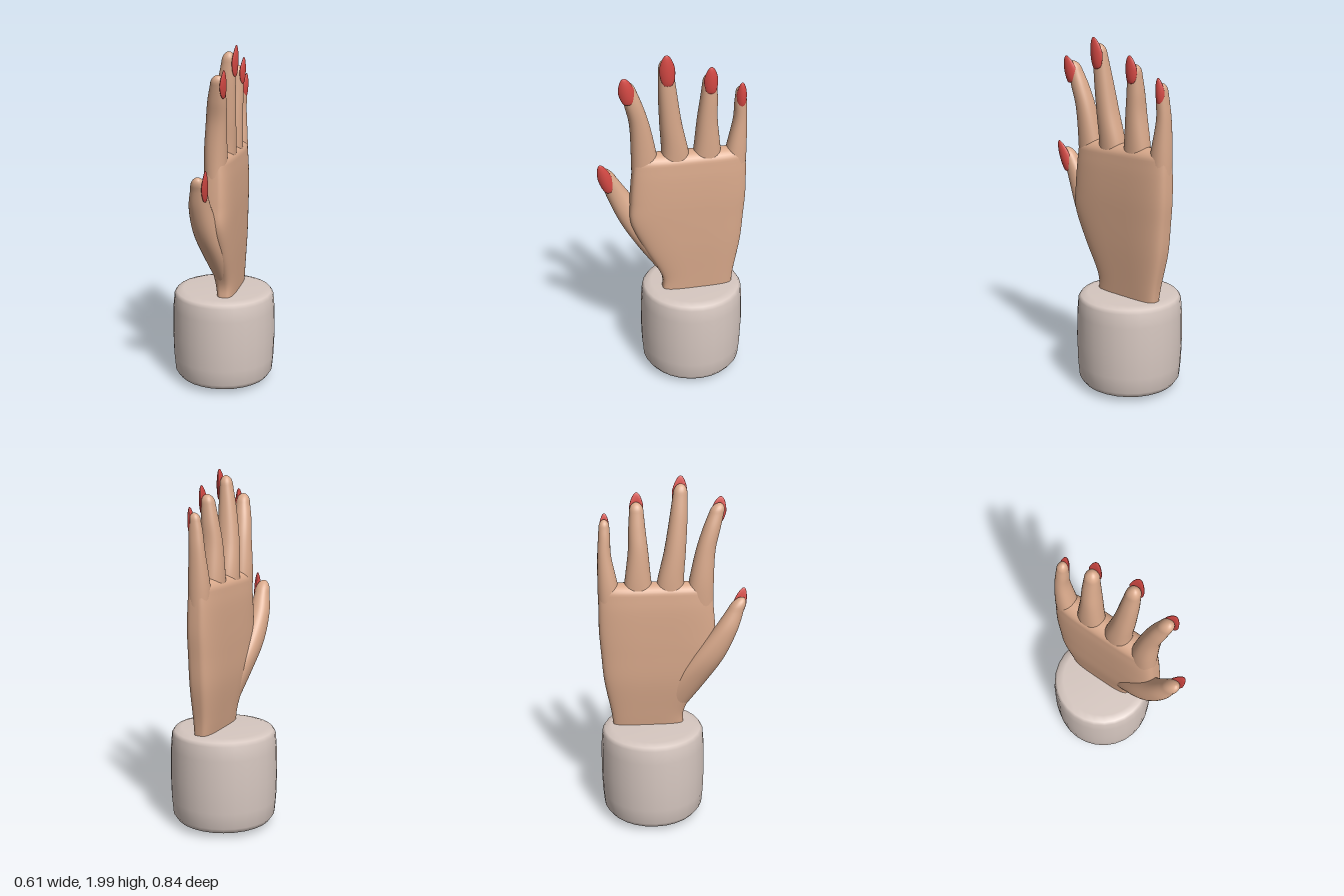
import * as THREE from 'three';

const skin = new THREE.MeshStandardMaterial({ color: 0xd9a98b });
const red = new THREE.MeshStandardMaterial({ color: 0xd84a45 });
const cloth = new THREE.MeshStandardMaterial({ color: 0xd6c7c0 });

// Smooth upright loft. Stations are [y, z, x, halfWidthZ, halfThicknessX];
// the top closes with a dome whose width shrinks down to the share `keep`.
function loft(stations, { power = 2, dome = 0.05, keep = 0, sides = 32, steps = 28 } = {}) {
  const path = new THREE.CatmullRomCurve3(stations.map(s => new THREE.Vector3(s[2], s[0], s[1])), false, 'catmullrom');
  const size = new THREE.CatmullRomCurve3(stations.map(s => new THREE.Vector3(s[4], 0, s[3])), false, 'catmullrom');
  const rings = [];
  for (let i = 0; i <= steps; i++) rings.push([path.getPoint(i / steps), size.getPoint(i / steps)]);
  const end = path.getPoint(1), endSize = size.getPoint(1);
  const dir = path.getTangent(1);
  dir.divideScalar(dir.y);
  for (let i = 1; i <= 8; i++) {
    const a = (i / 8) * Math.PI / 2, c = Math.max(Math.cos(a), 0.01);
    rings.push([
      end.clone().addScaledVector(dir, dome * Math.sin(a)),
      new THREE.Vector3(endSize.x * c, 0, endSize.z * (keep + (1 - keep) * c)),
    ]);
  }
  const pos = [], index = [];
  const bend = v => Math.sign(v) * Math.pow(Math.abs(v), 2 / power);
  for (const [p, r] of rings) {
    for (let j = 0; j < sides; j++) {
      const t = (j / sides) * Math.PI * 2;
      pos.push(p.x + r.x * bend(Math.cos(t)), p.y, p.z + r.z * bend(Math.sin(t)));
    }
  }
  for (let i = 0; i < rings.length - 1; i++) {
    for (let j = 0; j < sides; j++) {
      const k = (j + 1) % sides, a = i * sides + j, b = i * sides + k;
      index.push(a, a + sides, b, b, a + sides, b + sides);
    }
  }
  // End caps
  const last = (rings.length - 1) * sides;
  for (let j = 1; j < sides - 1; j++) {
    index.push(0, j, j + 1, last, last + j + 1, last + j);
  }
  const g = new THREE.BufferGeometry();
  g.setAttribute('position', new THREE.Float32BufferAttribute(pos, 3));
  g.setIndex(index);
  g.computeVertexNormals();
  return g;
}

// Thin curved nail: square-ish at the root, tapering to a rounded tip
function nailGeometry(length, halfWidth) {
  const g = new THREE.SphereGeometry(1, 24, 20);
  const p = g.attributes.position;
  for (let i = 0; i < p.count; i++) {
    const y = p.getY(i);
    const full = Math.pow(Math.max(1 - y * y, 0), y < 0 ? -0.2 : 0);
    const z = p.getZ(i) * Math.min(full, 1.6) * (y > 0 ? 1 - 0.25 * y : 1);
    p.setXYZ(i, p.getX(i) * 0.012 - 0.012 * z * z, y * length / 2, z * halfWidth);
  }
  g.computeVertexNormals();
  return g;
}

function add(group, name, geometry, material) {
  const mesh = new THREE.Mesh(geometry, material);
  mesh.name = name;
  group.add(mesh);
  return mesh;
}

// Digits: loft stations, dome height, nail [y, z, x, length, halfWidth, leanZ, leanX]
const digits = {
  thumb: {
    stations: [[0.66, 0.0, 0.03, 0.07, 0.04], [0.84, 0.1, 0.01, 0.1, 0.068], [1.0, 0.205, -0.018, 0.095, 0.071],
      [1.16, 0.3, -0.03, 0.068, 0.058], [1.28, 0.358, -0.022, 0.045, 0.042]],
    dome: 0.065, nail: [1.298, 0.382, 0.024, 0.185, 0.038, 0.3, -0.06],
  },
  indexFinger: {
    stations: [[1.22, 0.15, 0.022, 0.085, 0.06], [1.42, 0.165, 0.022, 0.07, 0.062], [1.6, 0.188, 0.032, 0.054, 0.056],
      [1.72, 0.22, 0.043, 0.048, 0.05], [1.81, 0.248, 0.053, 0.04, 0.038]],
    dome: 0.05, nail: [1.814, 0.263, 0.092, 0.15, 0.042, 0.2, -0.03],
  },
  middleFinger: {
    stations: [[1.22, -0.01, 0.025, 0.1, 0.06], [1.42, -0.006, 0.027, 0.076, 0.066], [1.6, 0.02, 0.036, 0.06, 0.062],
      [1.78, 0.04, 0.05, 0.049, 0.05], [1.91, 0.05, 0.062, 0.039, 0.036]],
    dome: 0.055, nail: [1.915, 0.05, 0.105, 0.17, 0.042, 0.08, -0.04],
  },
  ringFinger: {
    stations: [[1.22, -0.18, 0.027, 0.1, 0.06], [1.42, -0.185, 0.027, 0.076, 0.064], [1.6, -0.182, 0.033, 0.056, 0.058],
      [1.72, -0.186, 0.043, 0.047, 0.049], [1.82, -0.187, 0.053, 0.039, 0.038]],
    dome: 0.05, nail: [1.842, -0.186, 0.093, 0.148, 0.038, 0.03, -0.03],
  },
  littleFinger: {
    stations: [[1.22, -0.335, 0.027, 0.07, 0.06], [1.4, -0.35, 0.025, 0.058, 0.058], [1.58, -0.366, 0.028, 0.038, 0.044],
      [1.68, -0.364, 0.035, 0.033, 0.038], [1.74, -0.363, 0.04, 0.029, 0.031]],
    dome: 0.042, nail: [1.74, -0.362, 0.07, 0.14, 0.028, 0.03, -0.03],
  },
};

export function createModel() {
  const model = new THREE.Group();
  model.name = 'hand';

  // Cuff
  const profile = [[0, 0.008], [0.14, 0.018], [0.24, 0.028], [0.272, 0.04], [0.293, 0.07], [0.301, 0.16], [0.305, 0.3],
    [0.301, 0.46], [0.294, 0.54], [0.28, 0.56], [0.24, 0.572], [0, 0.573]].map(([r, y]) => new THREE.Vector2(r, y));
  add(model, 'cuff', new THREE.LatheGeometry(profile, 28), cloth).position.z = -0.113;

  // Palm and wrist
  const palm = [[0.55, -0.135, 0.04, 0.205, 0.05], [0.66, -0.138, 0.035, 0.215, 0.06], [0.85, -0.105, 0.028, 0.282, 0.076],
    [1.02, -0.075, 0.027, 0.325, 0.081], [1.15, -0.08, 0.027, 0.328, 0.082], [1.28, -0.085, 0.026, 0.322, 0.079],
    [1.37, -0.088, 0.026, 0.315, 0.072]];
  add(model, 'palm', loft(palm, { power: 3.6, dome: 0.06, keep: 0.75, sides: 64, steps: 36 }), skin);

  // Thumb and fingers with their nails
  for (const [name, { stations, dome, nail }] of Object.entries(digits)) {
    const digit = new THREE.Group();
    digit.name = name;
    add(digit, name + 'Flesh', loft(stations, { power: 2.2, dome }), skin);
    const [y, z, x, length, halfWidth, leanZ, leanX] = nail;
    const plate = add(digit, name + 'Nail', nailGeometry(length, halfWidth), red);
    plate.position.set(x, y, z);
    plate.rotation.set(leanZ, 0, leanX);
    model.add(digit);
  }
  return model;
}
